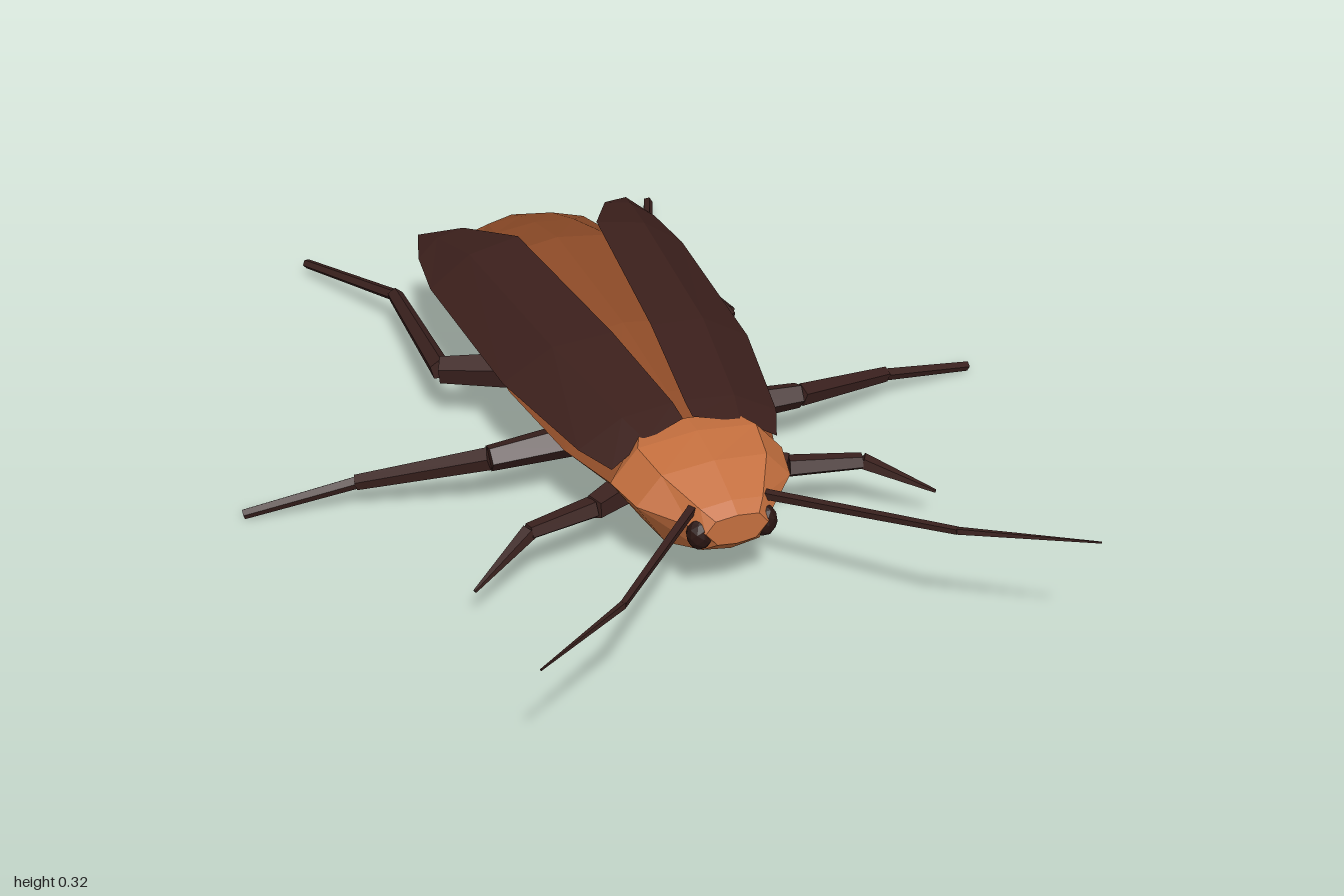
import * as THREE from 'three';

const mat = (color, side = THREE.FrontSide) =>
  new THREE.MeshStandardMaterial({ color, side, flatShading: true, roughness: 0.8 });

function flatMesh(name, pts, material) {
  const g = new THREE.BufferGeometry();
  g.setAttribute('position', new THREE.Float32BufferAttribute(pts.flat(), 3));
  g.computeVertexNormals();
  const m = new THREE.Mesh(g, material);
  m.name = name;
  return m;
}

// Skin between rows of points, given front to back
function skin(rows, closed) {
  const out = [];
  for (let i = 0; i + 1 < rows.length; i++) {
    const n = rows[i].length;
    for (let j = 0; j < (closed ? n : n - 1); j++) {
      const k = (j + 1) % n;
      const a = rows[i][j], b = rows[i][k], c = rows[i + 1][j], d = rows[i + 1][k];
      out.push(a, c, b, b, c, d);
    }
  }
  return out;
}

// Symmetric closed hull; each section is [z, half outline from bottom to top]
function hull(name, sections, material) {
  const rows = sections.map(([z, half]) => [
    ...half.map(([x, y]) => [x, y, z]),
    ...half.slice(1, -1).reverse().map(([x, y]) => [-x, y, z]),
  ]);
  const pts = skin(rows, true);
  const first = rows[0], last = rows[rows.length - 1];
  for (let j = 1; j + 1 < first.length; j++) {
    pts.push(first[0], first[j], first[j + 1], last[0], last[j + 1], last[j]);
  }
  return flatMesh(name, pts, material);
}

// Jointed limb: points [x, y, z], one [startRadius, endRadius] per segment
function limb(name, side, points, radii, sides, material) {
  const group = new THREE.Group();
  group.name = name;
  const p = points.map(([x, y, z]) => new THREE.Vector3(x * side, y, z));
  radii.forEach(([r0, r1], i) => {
    const dir = p[i + 1].clone().sub(p[i]);
    const seg = new THREE.Mesh(new THREE.CylinderGeometry(r1, r0, dir.length(), sides), material);
    seg.position.copy(p[i]).addScaledVector(dir, 0.5);
    seg.quaternion.setFromUnitVectors(new THREE.Vector3(0, 1, 0), dir.normalize());
    seg.name = name + 'Segment' + (i + 1);
    group.add(seg);
  });
  return group;
}

export function createModel() {
  const model = new THREE.Group();
  model.name = 'cockroach';
  const bodyMat = mat(0x8f4c28), headMat = mat(0xc46f3e), legMat = mat(0x3a211e);
  const wingMat = mat(0x3c201c, THREE.DoubleSide), eyeMat = mat(0x2a1512);

  // Abdomen: keel, belly edge, side edge, shoulder, ridge
  const bodyOutline = (w, low, side, top) => [
    [0, low], [w * 0.6, low + 0.005], [w, side],
    [w * 0.5, side + (top - side) * 0.84], [0, top]];
  model.add(hull('abdomen', [
    [0.36, bodyOutline(0.17, 0.12, 0.2, 0.265)],
    [0.2, bodyOutline(0.22, 0.11, 0.2, 0.29)],
    [-0.05, bodyOutline(0.25, 0.11, 0.2, 0.312)],
    [-0.45, bodyOutline(0.235, 0.11, 0.2, 0.305)],
    [-0.6, bodyOutline(0.185, 0.115, 0.2, 0.265)],
    [-0.7, bodyOutline(0.15, 0.14, 0.2, 0.228)],
    [-0.755, bodyOutline(0.01, 0.19, 0.2, 0.205)],
  ], bodyMat));

  // Head shield
  model.add(hull('headShield', [
    [0.57, [[0, 0.16], [0.04, 0.165], [0.065, 0.195], [0.045, 0.22], [0, 0.225]]],
    [0.54, [[0, 0.13], [0.06, 0.14], [0.085, 0.2], [0.065, 0.235], [0, 0.242]]],
    [0.45, [[0, 0.09], [0.1, 0.11], [0.162, 0.207], [0.11, 0.268], [0, 0.278]]],
    [0.36, [[0, 0.1], [0.12, 0.12], [0.182, 0.212], [0.125, 0.28], [0, 0.293]]],
    [0.305, [[0, 0.12], [0.1, 0.14], [0.14, 0.21], [0.1, 0.28], [0, 0.29]]],
  ], headMat));

  // Wing case rows: outer edge, fold, inner edge
  const wingRows = [
    [[0.175, 0.235, 0.35], [0.1, 0.28, 0.34], [0.01, 0.293, 0.31]],
    [[0.212, 0.235, 0.26], [0.12, 0.29, 0.26], [0.012, 0.302, 0.26]],
    [[0.27, 0.235, -0.03], [0.165, 0.305, -0.02], [0.042, 0.325, 0]],
    [[0.29, 0.235, -0.45], [0.2, 0.302, -0.45], [0.09, 0.325, -0.45]],
    [[0.275, 0.238, -0.58], [0.225, 0.27, -0.6], [0.165, 0.283, -0.6]],
    [[0.245, 0.24, -0.68], [0.245, 0.24, -0.68], [0.245, 0.24, -0.68]],
  ];

  // Legs: hip, thigh start, knee, foot
  const legs = {
    frontLeg: [[[0.12, 0.14, 0.28], [0.21, 0.145, 0.335], [0.355, 0.145, 0.37], [0.49, 0.082, 0.437]],
      [[0.035, 0.027], [0.024, 0.018], [0.018, 0.004]]],
    middleLeg: [[[0.15, 0.15, 0.09], [0.34, 0.14, 0.085], [0.59, 0.073, -0.025], [0.815, 0.014, -0.08]],
      [[0.038, 0.028], [0.025, 0.017], [0.014, 0.011]]],
    hindLeg: [[[0.15, 0.15, -0.19], [0.325, 0.138, -0.28], [0.3, 0.092, -0.69], [0.42, 0.036, -0.995]],
      [[0.042, 0.03], [0.024, 0.018], [0.014, 0.011]]],
  };

  for (const [side, label] of [[1, 'left'], [-1, 'right']]) {
    const rows = wingRows.map(r => {
      const row = r.map(([x, y, z]) => [x * side, y, z]);
      return side > 0 ? row : row.reverse();
    });
    model.add(flatMesh(label + 'Wing', skin(rows, false), wingMat));

    for (const [name, [points, radii]] of Object.entries(legs)) {
      model.add(limb(label + name[0].toUpperCase() + name.slice(1), side, points, radii, 5, legMat));
    }

    model.add(limb(label + 'Antenna', side,
      [[0.065, 0.225, 0.51], [0.335, 0.277, 0.835], [0.55, 0.302, 0.998]],
      [[0.011, 0.008], [0.008, 0.002]], 4, legMat));

    const eye = new THREE.Mesh(new THREE.IcosahedronGeometry(1, 1), eyeMat);
    eye.scale.set(0.027, 0.034, 0.026);
    eye.position.set(0.067 * side, 0.182, 0.543);
    eye.name = label + 'Eye';
    model.add(eye);
  }
  return model;
}
